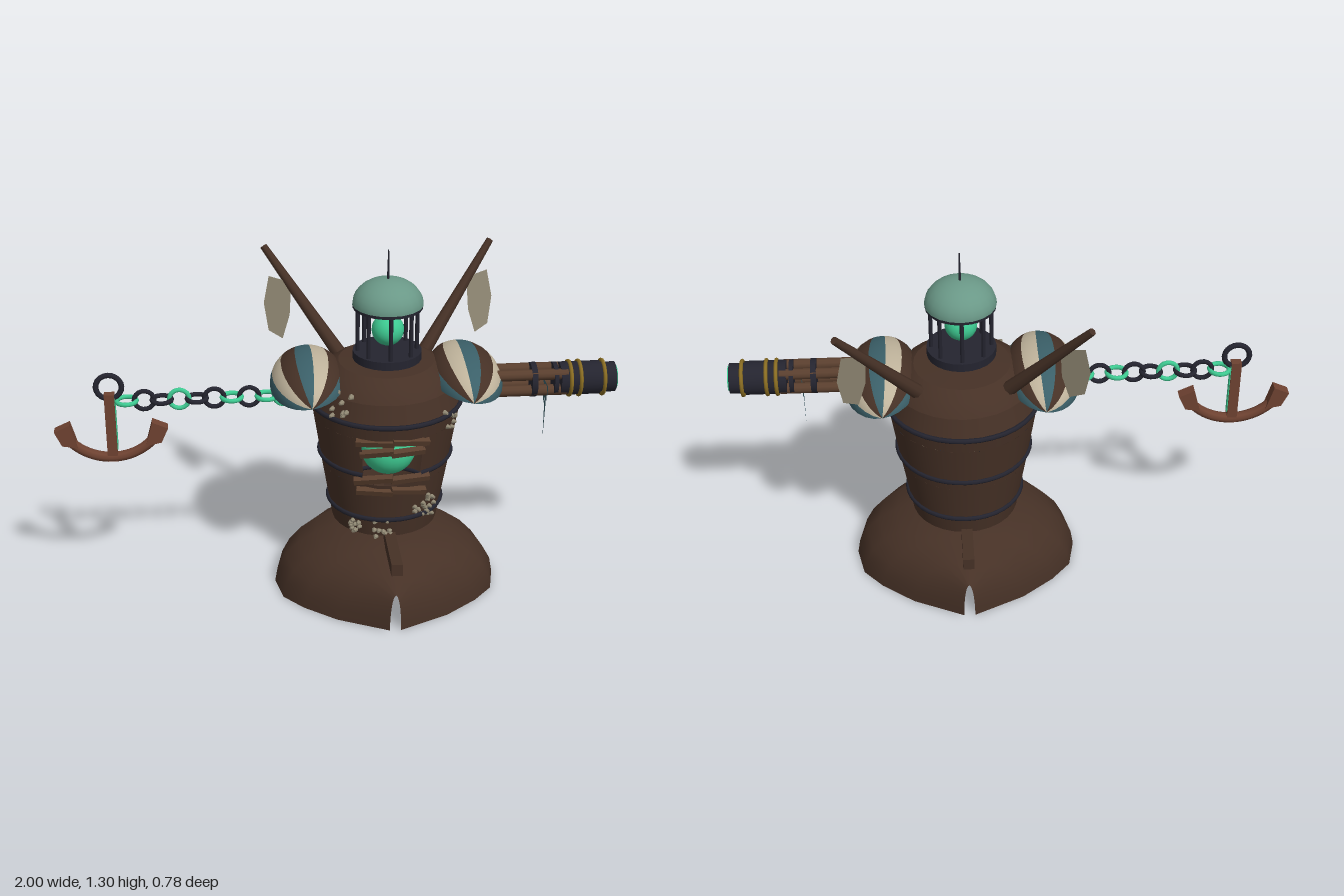
import * as THREE from 'three';

const mat = (name, color, double) => {
  const m = new THREE.MeshStandardMaterial({ color });
  m.name = name;
  if (double) m.side = THREE.DoubleSide;
  return m;
};

export function createModel() {
  const wood = mat('dark wood', 0x463126, true);
  const plank = mat('plank wood', 0x5a3f2e);
  const iron = mat('dark iron', 0x24242f);
  const glow = mat('green glow', 0x3ecb92, true);
  const patina = mat('patina', 0x6a9887);
  const teal = mat('teal stripe', 0x3b6069, true);
  const cream = mat('cream stripe', 0xc0b49c, true);
  const cloth = mat('worn cloth', 0x918974, true);
  const gold = mat('old gold', 0x8a6d22);
  const rust = mat('rust', 0x6e4231);
  const brownStripe = mat('dark wood', 0x463126, true);

  const root = new THREE.Group();
  const CX = 0.18, BZ = -0.03;
  const group = (name, parent = root) => {
    const g = new THREE.Group();
    g.name = name;
    parent.add(g);
    return g;
  };
  const add = (name, geo, m, x = 0, y = 0, z = 0, parent = root) => {
    const mesh = new THREE.Mesh(geo, m);
    mesh.name = name;
    mesh.position.set(x, y, z);
    parent.add(mesh);
    return mesh;
  };
  const box = (x, y, z) => new THREE.BoxGeometry(x, y, z);
  const cyl = (rt, rb, h, n = 20) => new THREE.CylinderGeometry(rt, rb, h, n);
  const rod = (name, a, b, ra, rb, n, m, parent) => {
    const p = new THREE.Vector3(...a), q = new THREE.Vector3(...b), d = q.clone().sub(p);
    const mesh = add(name, cyl(rb, ra, d.length(), n), m, 0, 0, 0, parent);
    mesh.position.copy(p).add(q).multiplyScalar(0.5);
    mesh.quaternion.setFromUnitVectors(new THREE.Vector3(0, 1, 0), d.normalize());
    return mesh;
  };

  // Upturned boat: arched sections [z, half width, height], open at both ends
  const half = [[0, 0.41, 0.26], [0.12, 0.385, 0.254], [0.2, 0.315, 0.236], [0.29, 0.2, 0.19], [0.376, 0.02, 0.145]];
  const stations = [...half.slice(1).reverse().map(([z, w, h]) => [-z, w, h]), ...half];
  const N = 14, pos = [], idx = [];
  stations.forEach(([z, w, h], i) => {
    for (let j = 0; j <= N; j++) {
      const a = Math.PI * j / N;
      pos.push(CX + w * Math.cos(a), h * Math.sin(a), z);
      if (i && j) {
        const d = i * (N + 1) + j, c = d - 1, b = d - N - 1, e = b - 1;
        idx.push(e, c, b, b, c, d);
      }
    }
  });
  const hullGeo = new THREE.BufferGeometry();
  hullGeo.setAttribute('position', new THREE.Float32BufferAttribute(pos, 3));
  hullGeo.setIndex(idx.flatMap((_, k) => k % 3 ? [] : [idx[k], idx[k + 2], idx[k + 1]]).reverse());
  hullGeo.computeVertexNormals();
  add('hull', hullGeo, wood);
  add('keel', box(0.04, 0.045, 0.78), wood, CX, 0.257, 0);

  // Barrel body with an opening in the chest
  const body = group('barrel');
  body.position.set(CX, 0, BZ);
  const lathe = (name, pts, gap = 0) => add(name, new THREE.LatheGeometry(
    pts.map(p => new THREE.Vector2(...p)), 28, gap, Math.PI * 2 - 2 * gap), wood, 0, 0, 0, body);
  lathe('barrelFloor', [[0.001, 0.265], [0.192, 0.265]]);
  lathe('lowerStaves', [[0.192, 0.265], [0.23, 0.49]]);
  lathe('middleStaves', [[0.23, 0.49], [0.26, 0.68]], 0.44);
  lathe('upperStaves', [[0.26, 0.68], [0.268, 0.735]]);
  lathe('barrelShoulder', [[0.268, 0.735], [0.247, 0.81]]);
  lathe('barrelTop', [[0.247, 0.81], [0.215, 0.855], [0.17, 0.88]]);
  lathe('barrelLid', [[0.17, 0.88], [0.001, 0.885]]);
  for (const [y, r, gap] of [[0.735, 0.27, 0], [0.53, 0.238, 0.44], [0.34, 0.207, 0]]) {
    const g = new THREE.TorusGeometry(r, 0.009, 6, 36, Math.PI * 2 - 2 * gap);
    g.rotateX(Math.PI / 2).rotateY(gap - Math.PI / 2 + (gap ? Math.PI * 2 - 2 * gap : 0));
    add('hoop', g, iron, 0, y, 0, body);
  }

  // Glowing heart behind broken boards
  add('heart', new THREE.SphereGeometry(0.1, 24, 16), glow, CX, 0.585, 0.075);
  for (const [y, w, tilt, z] of [[0.67, 0.25, -0.06, 0.215], [0.625, 0.22, 0.1, 0.205], [0.515, 0.26, 0.08, 0.195], [0.465, 0.24, -0.1, 0.19]]) {
    for (const s of [-1, 1]) {
      const b = add('chestBoard', box(w / 2 + 0.01, 0.022, 0.022), plank, CX + s * w / 4, y, z, root);
      b.rotation.set(0.35, s * 0.15, tilt - s * 0.12);
    }
  }

  // Barnacles scattered in clusters on the barrel: [angle, height]
  let seed = 7;
  const rnd = () => (seed = (seed * 16807) % 2147483647) / 2147483647;
  const barnacles = group('barnacles');
  for (const [a, y] of [[0.95, 0.71], [0.55, 0.38], [0.75, 0.36], [-0.7, 0.3], [-0.15, 0.3], [-0.75, 0.79]]) {
    for (let k = 0; k < 9; k++) {
      const t = a + (rnd() - 0.5) * 0.32, h = y + (rnd() - 0.5) * 0.09;
      const r = h > 0.735 ? 0.268 - (h - 0.735) * 0.28 : 0.192 + (h - 0.265) * 0.162;
      const c = add('barnacle', cyl(0.005, 0.011, 0.016, 6), cloth,
        CX + Math.sin(t) * (r + 0.005), h, BZ + Math.cos(t) * (r + 0.005), barnacles);
      c.rotation.set(Math.PI / 2, 0, -t, 'YXZ');
      c.rotation.y = t;
      c.rotation.z = 0;
    }
  }

  // Lantern head
  const lamp = group('lantern');
  lamp.position.x = CX;
  add('lanternBase', cyl(0.122, 0.122, 0.03, 24), iron, 0, 0.915, 0, lamp);
  add('lanternRim', cyl(0.123, 0.123, 0.012, 24), iron, 0, 1.097, 0, lamp);
  for (let i = 0; i < 8; i++) {
    const a = i * Math.PI / 4;
    add('lanternBar', cyl(0.008, 0.008, 0.18, 6), iron, Math.sin(a) * 0.105, 1.01, Math.cos(a) * 0.105, lamp);
  }
  add('lanternLight', new THREE.SphereGeometry(0.057, 24, 16), glow, 0, 1.01, 0.01, lamp);
  const dome = new THREE.SphereGeometry(0.125, 20, 8, 0, Math.PI * 2, 0, Math.PI / 2);
  dome.scale(1, 0.75, 1);
  add('lanternDome', dome, patina, 0, 1.102, 0, lamp);
  add('lanternSpire', cyl(0.002, 0.005, 0.11, 6), iron, 0, 1.245, 0, lamp);

  // Mirrored striped shoulder pads, masts and ragged sails
  const stripes = [teal, cream, brownStripe, teal, cream, brownStripe, teal];
  brownStripe.name = wood.name;
  for (const s of [-1, 1]) {
    const pad = group('shoulderPad');
    pad.position.set(CX + s * 0.28, 0.805, -0.017);
    pad.rotation.z = -s * 0.14;
    stripes.forEach((m, i) => {
      const k = s < 0 ? i : 6 - i;
      const g = new THREE.SphereGeometry(1, 3, 14, k * Math.PI / 7, Math.PI / 7);
      g.rotateX(-Math.PI / 2).scale(0.135, 0.107, 0.228);
      add('padStripe', g, m === brownStripe ? wood : m, 0, 0, 0, pad);
    });
    rod('mast', [CX + s * 0.155, 0.85, -0.16], [CX + s * 0.415, 1.2, -0.352], 0.026, 0.013, 8, wood, root);
    const sail = [[0.4, 1.1], [0.32, 1.085], [0.328, 0.965], [0.355, 0.875], [0.405, 0.9], [0.42, 1.0]];
    const g = new THREE.ShapeGeometry(new THREE.Shape(sail.map(p => new THREE.Vector2(...p))));
    const p = g.attributes.position;
    for (let i = 0; i < p.count; i++) {
      const x = p.getX(i), y = p.getY(i);
      p.setXYZ(i, CX + s * x, y, -0.245 - (x - 0.32) * 0.35 - (y - 0.88) * 0.16);
    }
    g.computeVertexNormals();
    add('sail', g, cloth);
  }

  // Cannon arm, built along +x
  const arm = group('cannonArm');
  arm.position.set(0, 0.805, 0.025);
  for (const y of [-0.03, 0.03]) for (const z of [-0.03, 0.03])
    rod('gunTube', [0.42, y, z], [0.82, y, z], 0.02, 0.02, 10, plank, arm);
  const alongX = (name, x0, x1, r, m, open = false) => {
    const g = new THREE.CylinderGeometry(r, r, x1 - x0, 24, 1, open);
    return add(name, g.rotateZ(Math.PI / 2), m, (x0 + x1) / 2, 0, 0, arm);
  };
  alongX('collar', 0.69, 0.71, 0.062, iron);
  alongX('collar', 0.77, 0.785, 0.06, iron);
  alongX('muzzle', 0.795, 0.94, 0.06, iron);
  alongX('muzzleTip', 0.93, 0.995, 0.054, iron);
  alongX('muzzleGlow', 0.99, 1, 0.045, glow);
  for (const x of [0.83, 0.865, 0.95])
    add('goldRing', new THREE.TorusGeometry(0.061, 0.007, 8, 28).rotateY(Math.PI / 2), gold, x, 0, 0, arm);
  // Hanging weed under the cannon
  const weed = new THREE.Shape([[-0.04, 0.12], [0.04, 0.12], [0.03, 0.05], [0.02, 0.09], [0, -0.1], [-0.008, 0.06], [-0.025, 0.02]]
    .map(q => new THREE.Vector2(...q)));
  add('weed', new THREE.ShapeGeometry(weed).rotateY(-Math.PI / 2), teal, 0.745, -0.125, 0.02, arm);

  // Chain arm: links alternate upright and flat
  const chain = group('chainArm');
  chain.position.set(0, 0.775, 0.02);
  const green = [0, 1, 3, 6, 9];
  for (let i = 0; i < 10; i++) {
    const g = new THREE.TorusGeometry(0.035, 0.0085, 8, 18);
    if (i % 2) g.rotateX(Math.PI / 2);
    add('chainLink', g, green.includes(i) ? glow : iron, -0.187 - i * 0.0615, 0, 0, chain);
  }

  // Anchor hand
  const anchor = group('anchor');
  anchor.position.set(-0.8, 0, 0.02);
  add('anchorRing', new THREE.TorusGeometry(0.045, 0.01, 8, 20), iron, 0, 0.83, 0, anchor);
  add('anchorShank', box(0.036, 0.26, 0.03), rust, 0, 0.675, 0, anchor);
  add('shankGlow', box(0.004, 0.2, 0.02), glow, 0.019, 0.69, 0, anchor);
  const arc = new THREE.TorusGeometry(0.195, 0.019, 8, 24, 1.9).rotateZ(-Math.PI / 2 - 0.95);
  add('anchorArms', arc, rust, 0, 0.752, 0, anchor);
  for (const s of [-1, 1]) {
    const pts = [[0.2, 0.675], [0.145, 0.695], [0.12, 0.605], [0.175, 0.615]];
    pts[0] = [0.2, 0.67];
    const f = new THREE.Shape(pts.map(([x, y]) => new THREE.Vector2(s * x, y)));
    add('anchorFluke', new THREE.ExtrudeGeometry(f, { depth: 0.04, bevelEnabled: false }), rust, 0, 0, -0.02, anchor);
  }
  return root;
}
